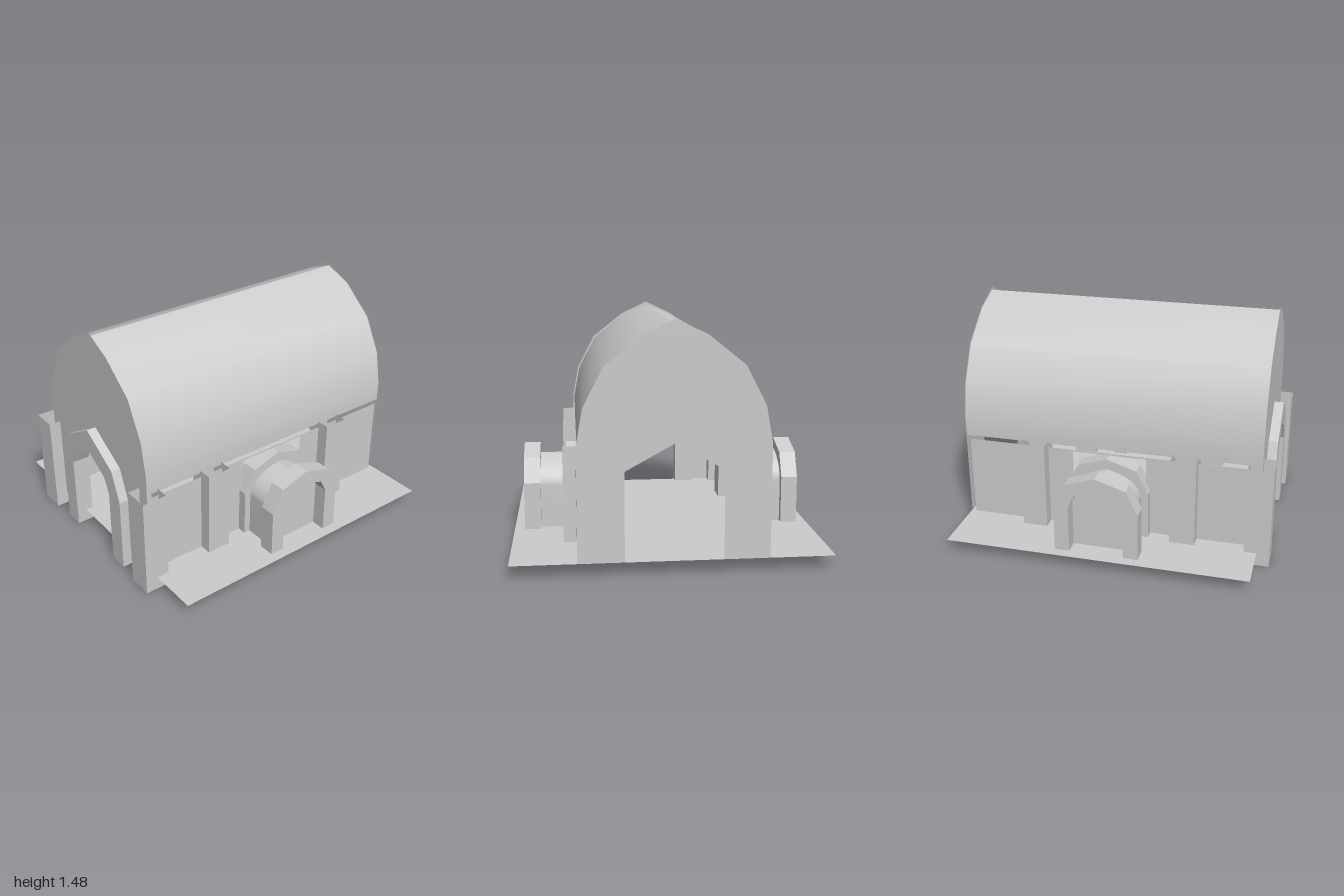
import * as THREE from 'three';

const grey = new THREE.MeshStandardMaterial({ color: 0xcccccc, side: THREE.DoubleSide });
const flat = new THREE.MeshStandardMaterial({ color: 0xcccccc, side: THREE.DoubleSide, flatShading: true });

const FLOOR = 0.085;

function add(parent, name, geometry, material = flat) {
  const mesh = new THREE.Mesh(geometry, material);
  mesh.name = name;
  parent.add(mesh);
  return mesh;
}

// Full symmetric outline from its right half, listed bottom to apex.
function mirrored(half) {
  return [...half, ...half.slice(0, -1).reverse().map(([x, y]) => [-x, y])];
}

const toShape = (points) => new THREE.Shape(points.map(([x, y]) => new THREE.Vector2(x, y)));

// Joins rows of points into a surface, sharing vertices so it can shade smoothly.
function loft(rows) {
  const n = rows[0].length;
  const index = [];
  for (let i = 0; i < rows.length - 1; i++) {
    for (let j = 0; j < n - 1; j++) {
      const a = i * n + j, b = a + n;
      index.push(a, b, a + 1, a + 1, b, b + 1);
    }
  }
  const geometry = new THREE.BufferGeometry();
  geometry.setAttribute('position', new THREE.Float32BufferAttribute(rows.flat(2), 3));
  geometry.setIndex(index);
  geometry.computeVertexNormals();
  return geometry;
}

// Outline swept straight along z.
const sheet = (points, z0, z1) => loft(points.map(([x, y]) => [[x, y, z1], [x, y, z0]]));

// Box-section arch frame with open feet.
function archFrame(outerHalf, innerHalf, z0, z1) {
  const outer = mirrored(outerHalf), inner = mirrored(innerHalf);
  return loft(outer.map(([x, y], i) => {
    const [u, v] = inner[i];
    return [[x, y, z1], [x, y, z0], [u, v, z0], [u, v, z1], [x, y, z1]];
  }));
}

// Hollow square post, open at both ends.
function postGeometry(size, height) {
  const r = size / 2;
  const corners = [[r, r], [r, -r], [-r, -r], [-r, r], [r, r]];
  return loft(corners.map(([x, z]) => [[x, 0, z], [x, height, z]]));
}

// Bay with two frames, joined by a vaulted neck with a closed end; faces local +z.
function makeBay() {
  const bay = new THREE.Group();
  const outer = [[0.265, 0.08], [0.265, 0.39], [0.19, 0.543], [0, 0.605]];
  const inner = [[0.172, 0.08], [0.172, 0.39], [0.127, 0.475], [0, 0.51]];
  add(bay, 'innerBayFrame', archFrame(outer, inner, 0.515, 0.62));
  add(bay, 'outerBayFrame', archFrame(outer, inner, 0.787, 0.892));

  const curve = new THREE.QuadraticBezierCurve(
    new THREE.Vector2(0.222, 0.36), new THREE.Vector2(0.2, 0.5), new THREE.Vector2(0, 0.535));
  const half = [[0.222, FLOOR], ...curve.getPoints(8).map((p) => [p.x, p.y])];
  // Each half is smooth, with a crease along the ridge
  for (const s of [1, -1]) {
    add(bay, 'bayNeck', sheet(half.map(([x, y]) => [s * x, y]), 0.56, 0.8), grey);
  }
  add(bay, 'bayEnd', new THREE.ShapeGeometry(toShape(mirrored(half)))).position.z = 0.8;
  return bay;
}

export function createModel() {
  const model = new THREE.Group();
  model.name = 'vaultedHall';

  // Floor sheet
  const floor = add(model, 'floor', new THREE.PlaneGeometry(1.914, 1.92).rotateX(-Math.PI / 2));
  floor.position.set(0, FLOOR, -0.04);

  // Vaulted roof shell
  const roofHalf = [[0.553, 0.637], [0.553, 0.77], [0.513, 0.985], [0.395, 1.208], [0.185, 1.385], [0, 1.458]];
  for (const s of [1, -1]) {
    add(model, 'roof', sheet(roofHalf.map(([x, y]) => [s * x, y]), -0.998, 0.922), grey);
  }

  // Gable ends, each with a pointed doorway cut up from the floor
  const gableHalf = [[0.563, FLOOR], [0.563, 0.77], [0.522, 0.99], [0.403, 1.22], [0.187, 1.393], [0, 1.482]];
  const doorway = mirrored([[0.29, FLOOR], [0.29, 0.62], [0, 0.78]]);
  const gable = new THREE.ShapeGeometry(toShape([...mirrored(gableHalf), ...doorway.reverse()]));
  add(model, 'frontGable', gable).position.z = 0.922;
  add(model, 'backGable', gable).position.z = -0.998;

  // Entrance arch
  add(model, 'entranceArch', archFrame(
    [[0.345, 0], [0.345, 0.49], [0.27, 0.68], [0, 0.84]],
    [[0.222, 0], [0.222, 0.49], [0.175, 0.59], [0, 0.69]], 0.87, 0.982));

  const post = postGeometry(0.16, 0.656);
  const bayZ = -0.038;
  for (const s of [1, -1]) {
    // Side wall with a rectangular opening for the bay
    const wallShape = toShape([[-0.92, FLOOR], [0.97, FLOOR], [0.97, 0.616], [-0.92, 0.616]].map(([u, v]) => [s * u, v]));
    const hole = [[-0.2, 0.09], [0.275, 0.09], [0.275, 0.605], [-0.2, 0.605]];
    wallShape.holes.push(new THREE.Path(hole.map(([u, v]) => new THREE.Vector2(s * u, v))));
    const wall = add(model, 'sideWall', new THREE.ShapeGeometry(wallShape));
    wall.rotation.y = s * Math.PI / 2;
    wall.position.x = s * 0.562;

    // Posts along the side
    for (const z of [0.92, 0.45, -0.52]) {
      add(model, 'post', post).position.set(s * 0.562, 0, z);
    }

    // Side bay
    const bay = makeBay();
    bay.name = s > 0 ? 'leftBay' : 'rightBay';
    bay.rotation.y = s * Math.PI / 2;
    bay.position.z = bayZ;
    model.add(bay);
  }
  return model;
}
